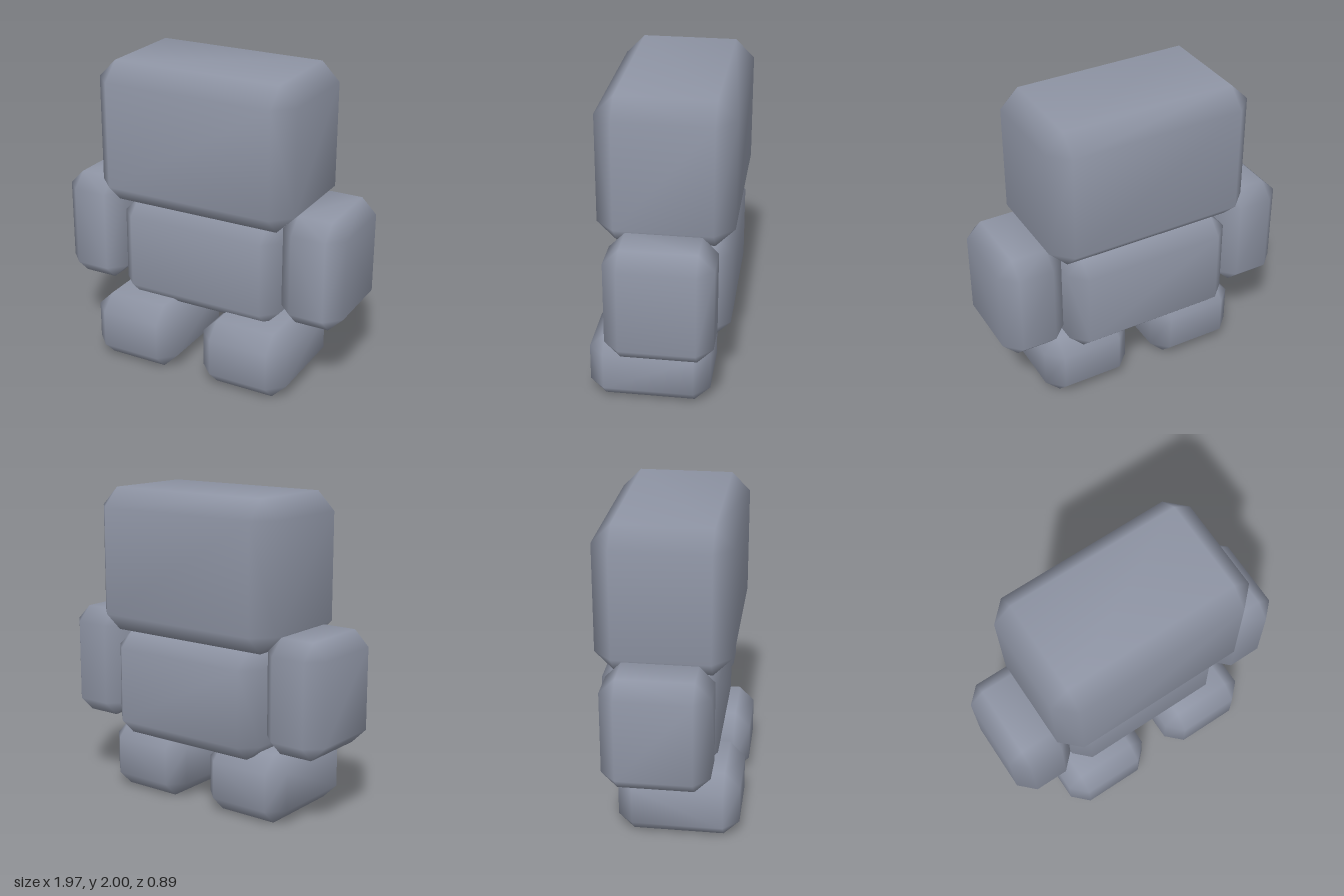
import * as THREE from 'three';
import { ConvexGeometry } from 'three/addons/geometries/ConvexGeometry.js';
import { mergeVertices } from 'three/addons/utils/BufferGeometryUtils.js';

// Box with every edge and corner cut at 45 degrees, shaded smoothly
function chamferedBox(w, h, d, c) {
  const x = w / 2, y = h / 2, z = d / 2;
  const points = [];
  for (const sx of [-1, 1]) for (const sy of [-1, 1]) for (const sz of [-1, 1]) {
    points.push(
      new THREE.Vector3(sx * x, sy * (y - c), sz * (z - c)),
      new THREE.Vector3(sx * (x - c), sy * y, sz * (z - c)),
      new THREE.Vector3(sx * (x - c), sy * (y - c), sz * z),
    );
  }
  const hull = new ConvexGeometry(points);
  hull.deleteAttribute('normal');
  const geometry = mergeVertices(hull, 1e-4);
  geometry.computeVertexNormals();
  return geometry;
}

export function createModel() {
  const model = new THREE.Group();
  model.name = 'blockFigure';
  const slate = new THREE.MeshStandardMaterial({ color: 0x8f95a5 });
  slate.name = 'slate grey';

  // Adds a block given its extents along each axis and its chamfer
  function block(name, [x0, x1], [y0, y1], [z0, z1], chamfer) {
    const mesh = new THREE.Mesh(chamferedBox(x1 - x0, y1 - y0, z1 - z0, chamfer), slate);
    mesh.position.set((x0 + x1) / 2, (y0 + y1) / 2, (z0 + z1) / 2);
    mesh.name = name;
    model.add(mesh);
  }

  block('head', [-0.675, 0.675], [1.085, 2], [-0.445, 0.385], 0.118);
  block('body', [-0.558, 0.558], [0.41, 1.085], [-0.422, 0.295], 0.098);

  // Arms and feet, mirrored
  for (const [side, s] of [['left', 1], ['right', -1]]) {
    const span = (a, b) => (s > 0 ? [a, b] : [-b, -a]);
    block(side + 'Arm', span(0.568, 0.983), [0.475, 1.19], [-0.36, 0.293], 0.097);
    block(side + 'Foot', span(0.098, 0.687), [0, 0.437], [-0.314, 0.447], 0.098);
  }
  return model;
}
